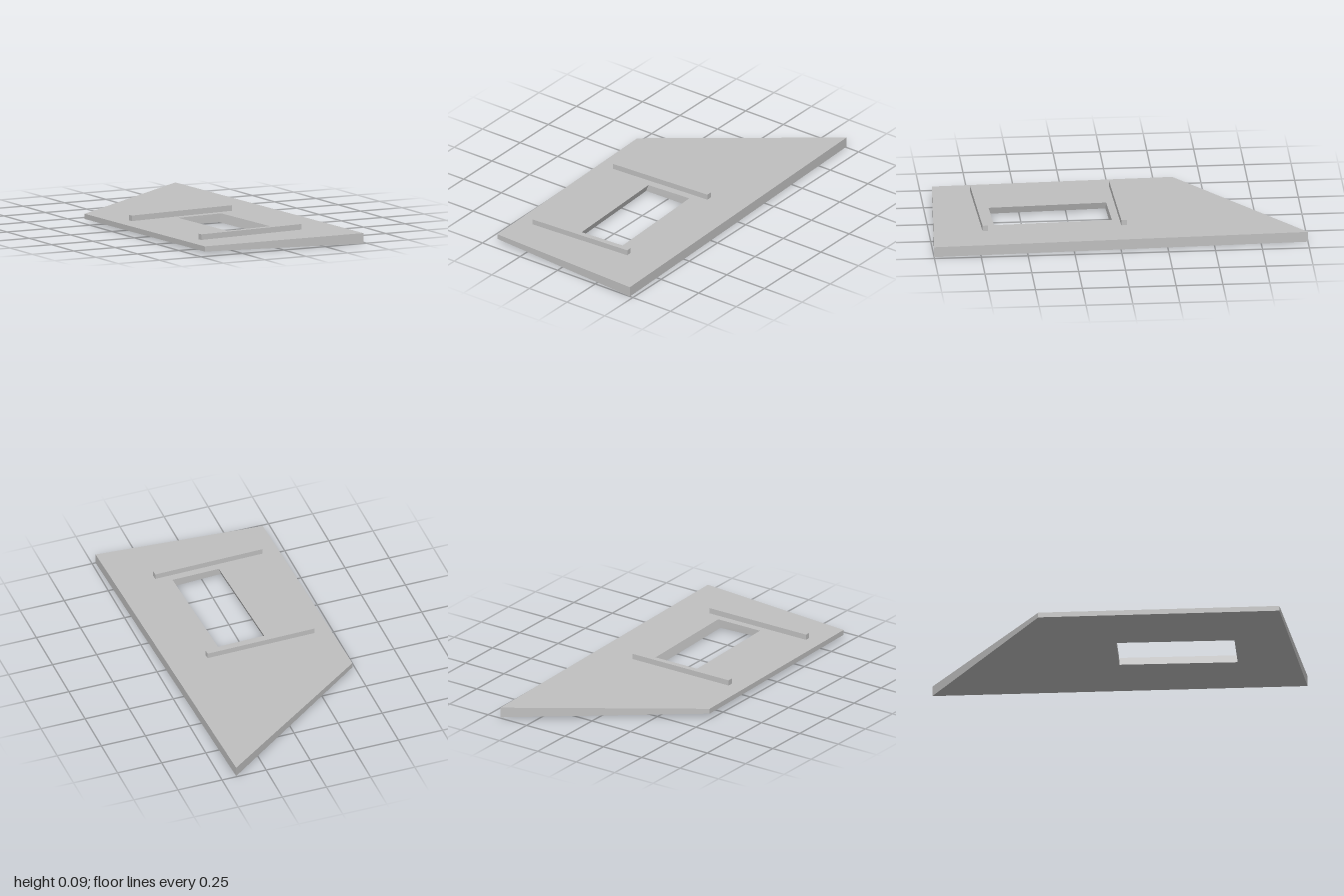
import * as THREE from 'three';

// The slab faces lean slightly and the slab tapers from right to left
const topY = (x, z) => 0.0524 + 0.0132 * x - 0.0027 * z;
const baseY = (x, z) => 0.0102 - 0.0172 * x - 0.0019 * z;

// Lift [x, z] corners to a height rule
const lift = (corners, rule, add = 0) => corners.map(([x, z]) => [x, rule(x, z) + add, z]);

// Flat-faced geometry from quads, each anticlockwise seen from outside
function fromQuads(quads) {
  const pos = quads.flatMap(([a, b, c, d]) => [a, b, c, a, c, d]).flat();
  const g = new THREE.BufferGeometry();
  g.setAttribute('position', new THREE.Float32BufferAttribute(pos, 3));
  g.computeVertexNormals();
  return g;
}

// Four walls joining an upper and a lower ring of corners
const walls = (hi, lo) => hi.map((p, i) => {
  const j = (i + 1) % 4;
  return [p, hi[j], lo[j], lo[i]];
});

// Flat band between an outer and an inner ring, facing up
const band = (out, inn) => out.map((p, i) => {
  const j = (i + 1) % 4;
  return [p, inn[i], inn[j], out[j]];
});
const flip = (quads) => quads.map((q) => [...q].reverse());

export function createModel() {
  const group = new THREE.Group();
  const grey = new THREE.MeshStandardMaterial({ color: 0xc0c0c0 });
  grey.name = 'light grey';
  const add = (name, quads) => {
    const mesh = new THREE.Mesh(fromQuads(quads), grey);
    mesh.name = name;
    group.add(mesh);
  };

  // Corners run back left of the plan, back right, front right, front left
  const outline = [[-0.48, -0.345], [0.42, -1], [0.48, 1], [-0.445, 0.94]];
  const opening = [[-0.12, 0.036], [0.145, 0.026], [0.171, 0.656], [-0.095, 0.665]];
  const openingBase = opening.map(([x, z]) => [x - 0.013, z + 0.002]);

  // Tapered slab with a slanted rectangular opening
  const outHi = lift(outline, topY), outLo = lift(outline, baseY);
  const inHi = lift(opening, topY), inLo = lift(openingBase, baseY);
  add('slab', [
    ...band(outHi, inHi),
    ...flip(band(outLo, inLo)),
    ...walls(outHi, outLo),
    ...flip(walls(inHi, inLo)),
  ]);

  // Two battens across the slab, behind and in front of the opening
  const battens = {
    backBatten: [[-0.382, -0.031], [0.231, -0.049], [0.233, -0.018], [-0.381, 0.001]],
    frontBatten: [[-0.361, 0.713], [0.254, 0.694], [0.256, 0.724], [-0.36, 0.743]],
  };
  for (const [name, corners] of Object.entries(battens)) {
    const hi = lift(corners, topY, 0.03), lo = lift(corners, topY);
    add(name, [[...hi].reverse(), lo, ...walls(hi, lo)]);
  }
  return group;
}
